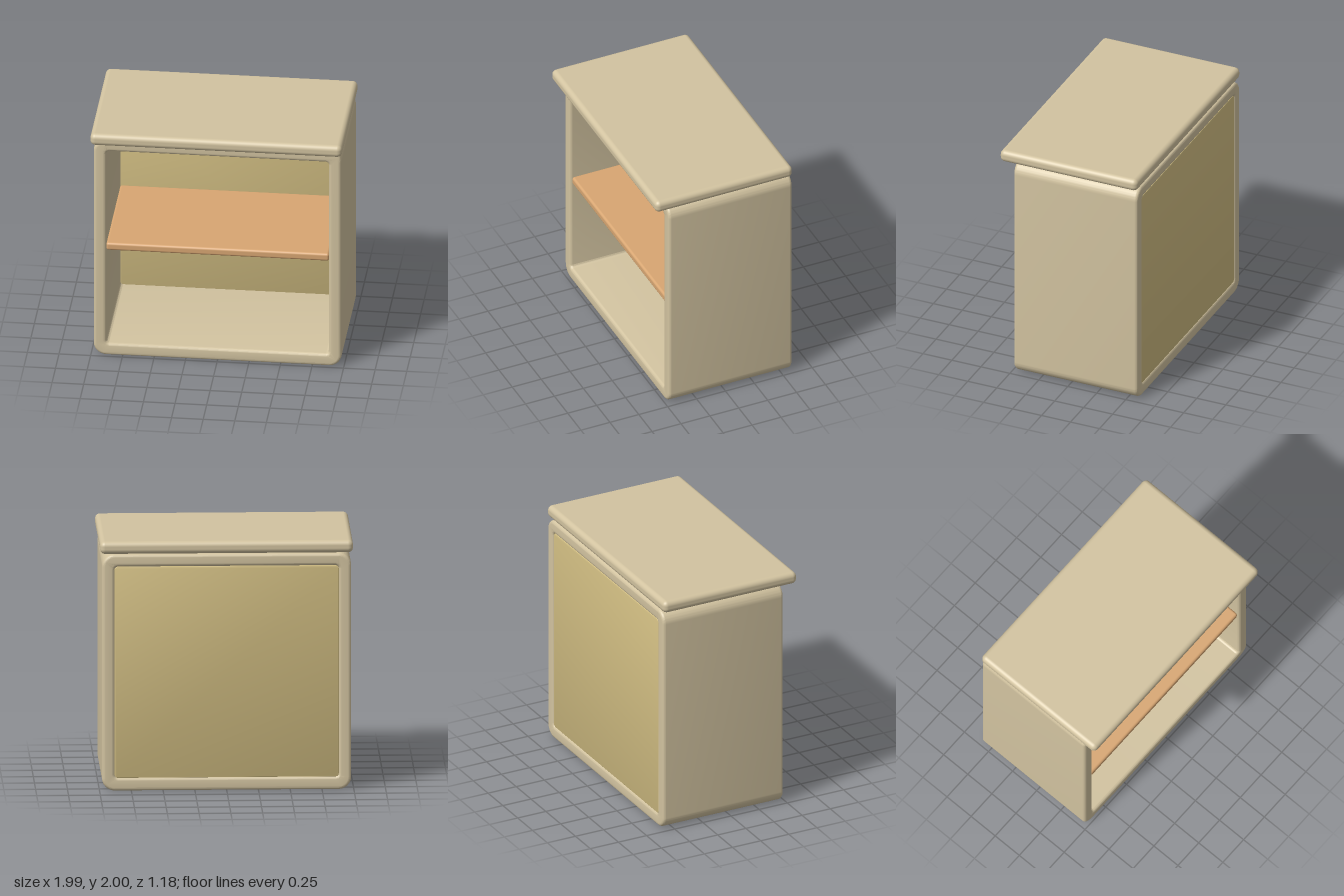
import * as THREE from 'three';
import { toCreasedNormals } from 'three/addons/utils/BufferGeometryUtils.js';
import { RoundedBoxGeometry } from 'three/addons/geometries/RoundedBoxGeometry.js';

// Trace a rounded rectangle centred on x = 0
function roundedRect(path, halfW, y0, y1, r) {
  path.moveTo(halfW, y0 + r);
  path.lineTo(halfW, y1 - r);
  path.absarc(halfW - r, y1 - r, r, 0, Math.PI / 2, false);
  path.lineTo(-halfW + r, y1);
  path.absarc(-halfW + r, y1 - r, r, Math.PI / 2, Math.PI, false);
  path.lineTo(-halfW, y0 + r);
  path.absarc(-halfW + r, y0 + r, r, Math.PI, Math.PI * 1.5, false);
  path.lineTo(halfW - r, y0);
  path.absarc(halfW - r, y0 + r, r, Math.PI * 1.5, Math.PI * 2, false);
  return path;
}

// Extrude from z0 to z1 with rounded rims that stay inside the outline
function extrudeBetween(shape, z0, z1, bevel) {
  const geometry = new THREE.ExtrudeGeometry(shape, {
    depth: z1 - z0 - 2 * bevel,
    bevelEnabled: true,
    bevelSize: bevel,
    bevelThickness: bevel,
    bevelOffset: -bevel,
    bevelSegments: 5,
    curveSegments: 10,
  });
  geometry.translate(0, 0, z0 + bevel);
  return toCreasedNormals(geometry, 0.6);
}

export function createModel() {
  const model = new THREE.Group();
  model.name = 'cabinet';

  const bodyMaterial = new THREE.MeshStandardMaterial({ color: 0xd2c3a0 });
  bodyMaterial.name = 'pale beige';
  const panelMaterial = new THREE.MeshStandardMaterial({ color: 0xd4c084 });
  panelMaterial.name = 'straw yellow';
  const shelfMaterial = new THREE.MeshStandardMaterial({ color: 0xd8a672 });
  shelfMaterial.name = 'warm wood';

  function add(name, geometry, material, x = 0, y = 0, z = 0) {
    const mesh = new THREE.Mesh(geometry, material);
    mesh.name = name;
    mesh.position.set(x, y, z);
    model.add(mesh);
  }

  // Carcass: a rounded tube open at front and back
  const outline = roundedRect(new THREE.Shape(), 0.98, 0.005, 1.9, 0.1);
  outline.holes.push(roundedRect(new THREE.Path(), 0.88, 0.11, 1.8, 0.025));
  add('carcass', extrudeBetween(outline, -0.59, 0.48, 0.025), bodyMaterial);

  // Back panel, set just inside the rear rim
  const back = roundedRect(new THREE.Shape(), 0.882, 0.108, 1.802, 0.027);
  add('backPanel', extrudeBetween(back, -0.583, -0.55, 0.004), panelMaterial);

  // Shelf with softened edges
  add('shelf', new RoundedBoxGeometry(1.764, 0.065, 1.02, 4, 0.02), shelfMaterial, 0, 0.954, -0.045);

  // Overhanging top board
  add('topBoard', new RoundedBoxGeometry(1.99, 0.1, 1.185, 5, 0.04), bodyMaterial, 0, 1.95, 0.0025);

  return model;
}
